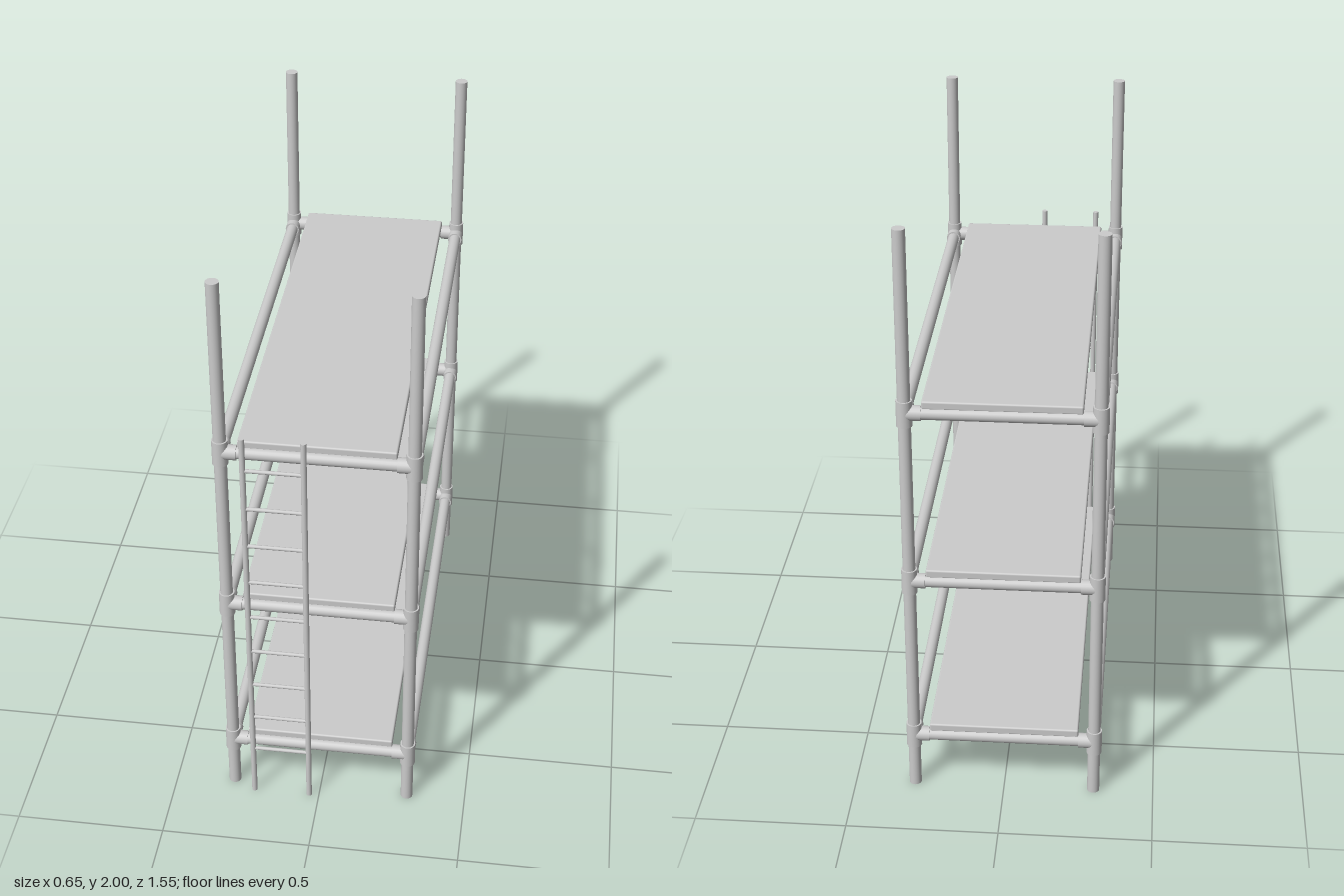
import * as THREE from 'three';
import { RoundedBoxGeometry } from 'three/addons/geometries/RoundedBoxGeometry.js';

const FRONT = 0.724, BACK = -0.75, HALF_WIDTH = 0.3;
const LEVELS = [0.2, 0.8, 1.4];
const material = new THREE.MeshStandardMaterial({ color: 0xcccccc });

// Straight round bar between two points
function bar(name, from, to, radius, sides = 20) {
  const a = new THREE.Vector3(...from), b = new THREE.Vector3(...to);
  const dir = b.clone().sub(a);
  const mesh = new THREE.Mesh(new THREE.CylinderGeometry(radius, radius, dir.length(), sides), material);
  mesh.name = name;
  mesh.position.copy(a).add(b).multiplyScalar(0.5);
  mesh.quaternion.setFromUnitVectors(new THREE.Vector3(0, 1, 0), dir.normalize());
  return mesh;
}

// Corner coupling: upright sleeve with one socket along x and one along z
function coupling(x, y, z) {
  const group = new THREE.Group();
  group.name = 'coupling';
  const inX = x - Math.sign(x) * 0.052, inZ = z - Math.sign(z) * 0.052;
  group.add(
    bar('sleeve', [x, y - 0.043, z], [x, y + 0.043, z], 0.0255),
    bar('crossSocket', [x, y, z], [inX, y, z], 0.0245),
    bar('sideSocket', [x, y, z], [x, y, inZ], 0.0245)
  );
  return group;
}

// One storey: four couplings, four rails and a deck
function storey(y) {
  const group = new THREE.Group();
  group.name = 'storey';
  for (const x of [-HALF_WIDTH, HALF_WIDTH]) {
    group.add(bar('sideRail', [x, y, BACK], [x, y, FRONT], 0.02));
    for (const z of [BACK, FRONT]) group.add(coupling(x, y, z));
  }
  for (const z of [BACK, FRONT]) {
    group.add(bar('crossRail', [-HALF_WIDTH, y, z], [HALF_WIDTH, y, z], 0.02));
  }
  const deck = new THREE.Mesh(new RoundedBoxGeometry(0.494, 0.028, 1.482, 2, 0.006), material);
  deck.name = 'deck';
  deck.position.set(0, y + 0.029, -0.017);
  group.add(deck);
  return group;
}

// Ladder standing against the front
function ladder() {
  const group = new THREE.Group();
  group.name = 'ladder';
  const left = -0.034, right = -0.224, z = 0.766;
  for (const x of [left, right]) group.add(bar('stile', [x, 0, z], [x, 1.483, z], 0.0095, 16));
  for (let i = 0; i < 9; i++) {
    const y = 0.197 + i * 0.1458;
    group.add(bar('rung', [right, y, z], [left, y, z], 0.0065, 12));
  }
  return group;
}

export function createModel() {
  const model = new THREE.Group();
  model.name = 'scaffold';
  for (const x of [-HALF_WIDTH, HALF_WIDTH]) {
    for (const z of [BACK, FRONT]) model.add(bar('post', [x, 0, z], [x, 2, z], 0.0205));
  }
  for (const y of LEVELS) model.add(storey(y));
  model.add(ladder());
  return model;
}
